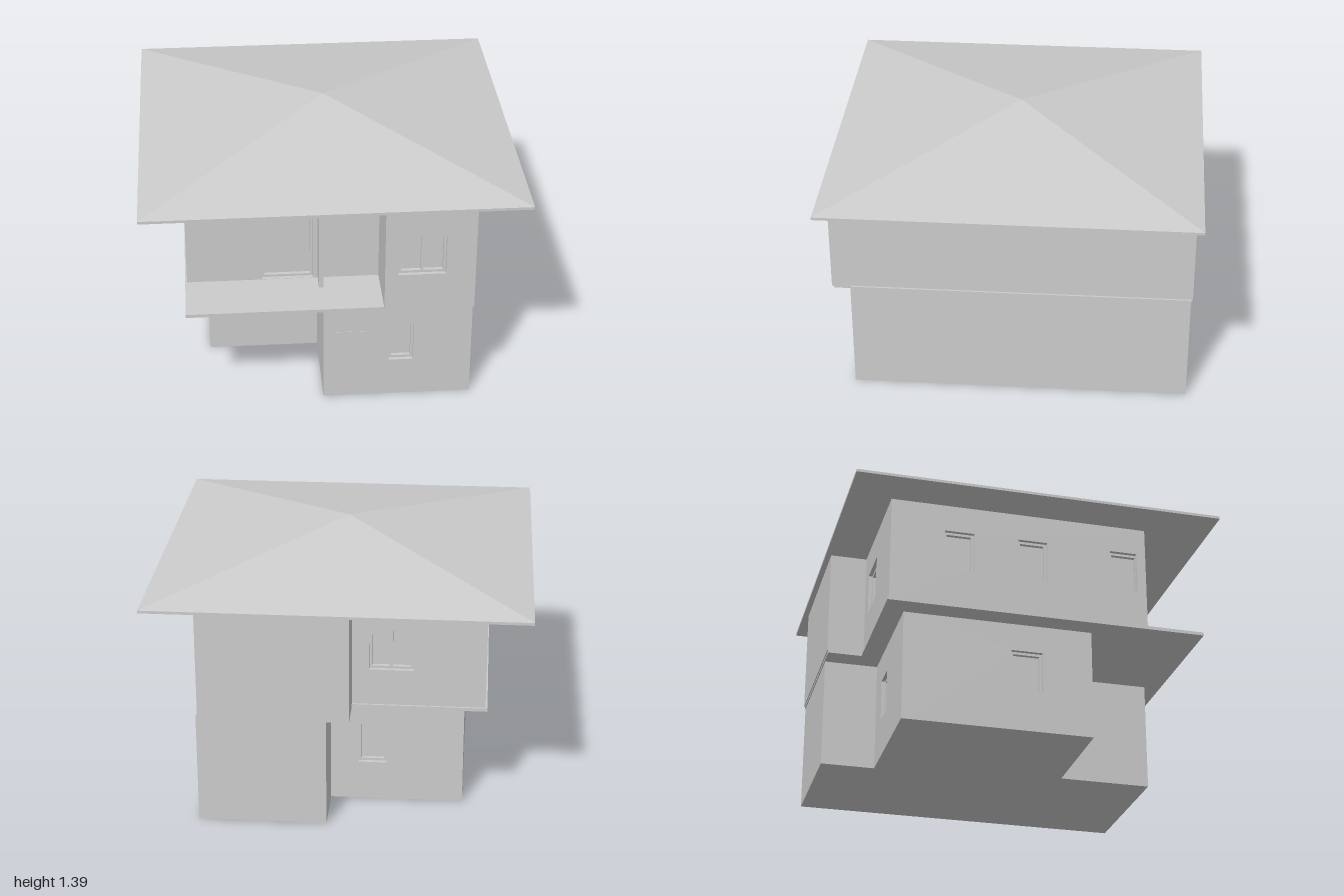
import * as THREE from 'three';

const WALL = 0.05, RECESS = 0.03, FRAME = 0.014;

const plaster = new THREE.MeshStandardMaterial({ color: 0xcccccc });
plaster.name = 'light grey';

function add(parent, name, geometry, x = 0, y = 0, z = 0) {
  const mesh = new THREE.Mesh(geometry, plaster);
  mesh.name = name;
  mesh.position.set(x, y, z);
  parent.add(mesh);
  return mesh;
}

const extrude = (shape, depth) => new THREE.ExtrudeGeometry(shape, { depth, bevelEnabled: false });

function rectangle(PathType, u0, v0, u1, v1) {
  const p = new PathType();
  p.moveTo(u0, v0).lineTo(u1, v0).lineTo(u1, v1).lineTo(u0, v1).closePath();
  return p;
}

// Horizontal plate from a footprint of [x, z] corners
function plate(parent, name, points, y, height) {
  const shape = new THREE.Shape(points.map(([x, z]) => new THREE.Vector2(x, -z)));
  add(parent, name, extrude(shape, height).rotateX(-Math.PI / 2), 0, y, 0);
}

// Recessed window or door: frame ring, pane and optional centre bar
function opening(wall, { name, u0, v0, u1, v1, bar }) {
  const unit = new THREE.Group();
  unit.name = name;
  wall.add(unit);
  const ring = rectangle(THREE.Shape, u0, v0, u1, v1);
  ring.holes.push(rectangle(THREE.Path, u0 + FRAME, v0 + FRAME, u1 - FRAME, v1 - FRAME));
  add(unit, name + 'Frame', extrude(ring, 0.02), 0, 0, -RECESS - 0.01);
  const w = u1 - u0, h = v1 - v0, cx = (u0 + u1) / 2, cy = (v0 + v1) / 2;
  add(unit, name + 'Pane', new THREE.BoxGeometry(w, h, 0.01), cx, cy, -WALL + 0.005);
  if (bar) add(unit, name + 'Bar', new THREE.BoxGeometry(0.014, h - 2 * FRAME, 0.02), cx, cy, -RECESS);
}

// One storey: a wall along every footprint edge, facing outward.
// openings[edge] lists [name, u0, v0, u1, v1, bar], u along the edge and v in height.
function storey(parent, name, points, y0, y1, openings) {
  const group = new THREE.Group();
  group.name = name;
  parent.add(group);
  points.forEach(([x, z], i) => {
    const [nx, nz] = points[(i + 1) % points.length];
    const wall = new THREE.Group();
    wall.name = name + 'Wall' + (i + 1);
    wall.position.set(x, 0, z);
    wall.rotation.y = Math.atan2(-(nz - z), nx - x);
    group.add(wall);
    const shape = rectangle(THREE.Shape, 0, y0, Math.hypot(nx - x, nz - z), y1);
    for (const [n, u0, v0, u1, v1, bar] of openings[i] || []) {
      shape.holes.push(rectangle(THREE.Path, u0, v0, u1, v1));
      opening(wall, { name: n, u0, v0, u1, v1, bar });
    }
    add(wall, 'wallPanel', extrude(shape, WALL), 0, 0, -WALL);
  });
}

export function createModel() {
  const house = new THREE.Group();
  house.name = 'house';

  // Ground floor
  const lower = [
    [-0.66, 0.36], [-0.06, 0.36], [-0.06, 0.86], [0.73, 0.86],
    [0.73, -0.95], [0.05, -0.95], [0.05, -0.66], [-0.66, -0.66],
  ];
  storey(house, 'groundFloor', lower, 0, 0.618, {
    0: [['window', 0.21, 0.22, 0.45, 0.45, true]],
    2: [['window', 0.35, 0.22, 0.48, 0.45]],
    6: [['window', 0.15, 0.22, 0.30, 0.45]],
    7: [['window', 0.58, 0.22, 0.75, 0.45]],
  });
  plate(house, 'groundSlab', lower, 0, 0.01);
  add(house, 'frontDoor', new THREE.BoxGeometry(0.16, 0.41, 0.004), 0.09, 0.207, 0.86);

  // Slab between the storeys, reaching out as a balcony
  plate(house, 'balconySlab', [
    [-0.78, 0.95], [0.72, 0.95], [0.72, -0.955], [-0.07, -0.955], [-0.07, -0.77], [-0.78, -0.77],
  ], 0.602, 0.018);

  // Upper floor
  const upper = [
    [-0.77, 0.64], [0.25, 0.64], [0.25, 0.96], [0.72, 0.96],
    [0.72, -0.96], [-0.07, -0.96], [-0.07, -0.76], [-0.77, -0.76],
  ];
  const sideWindow = (z0, z1) => ['window', z0 + 0.76, 0.82, z1 + 0.76, 1.05];
  storey(house, 'upperFloor', upper, 0.615, 1.205, {
    0: [['balconyDoor', 0.40, 0.622, 0.67, 0.985]],
    2: [['window', 0.07, 0.82, 0.315, 1.05, true]],
    6: [['window', 0.09, 0.82, 0.32, 1.05, true]],
    7: [sideWindow(-0.47, -0.31), sideWindow(-0.07, 0.09), sideWindow(0.44, 0.60)],
  });

  // Fin wall on the balcony
  add(house, 'balconyFin', new THREE.BoxGeometry(0.025, 0.59, 0.11), -0.0625, 0.91, 0.685);

  // Hipped roof with a thin eave
  add(house, 'eave', new THREE.BoxGeometry(2, 0.015, 1.98), 0, 1.2075, 0);
  const cone = new THREE.ConeGeometry(Math.SQRT2, 0.175, 4, 1, true)
    .rotateY(Math.PI / 4).scale(1, 1, 0.99).toNonIndexed();
  cone.computeVertexNormals();
  add(house, 'roof', cone, 0, 1.3025, 0);

  return house;
}
